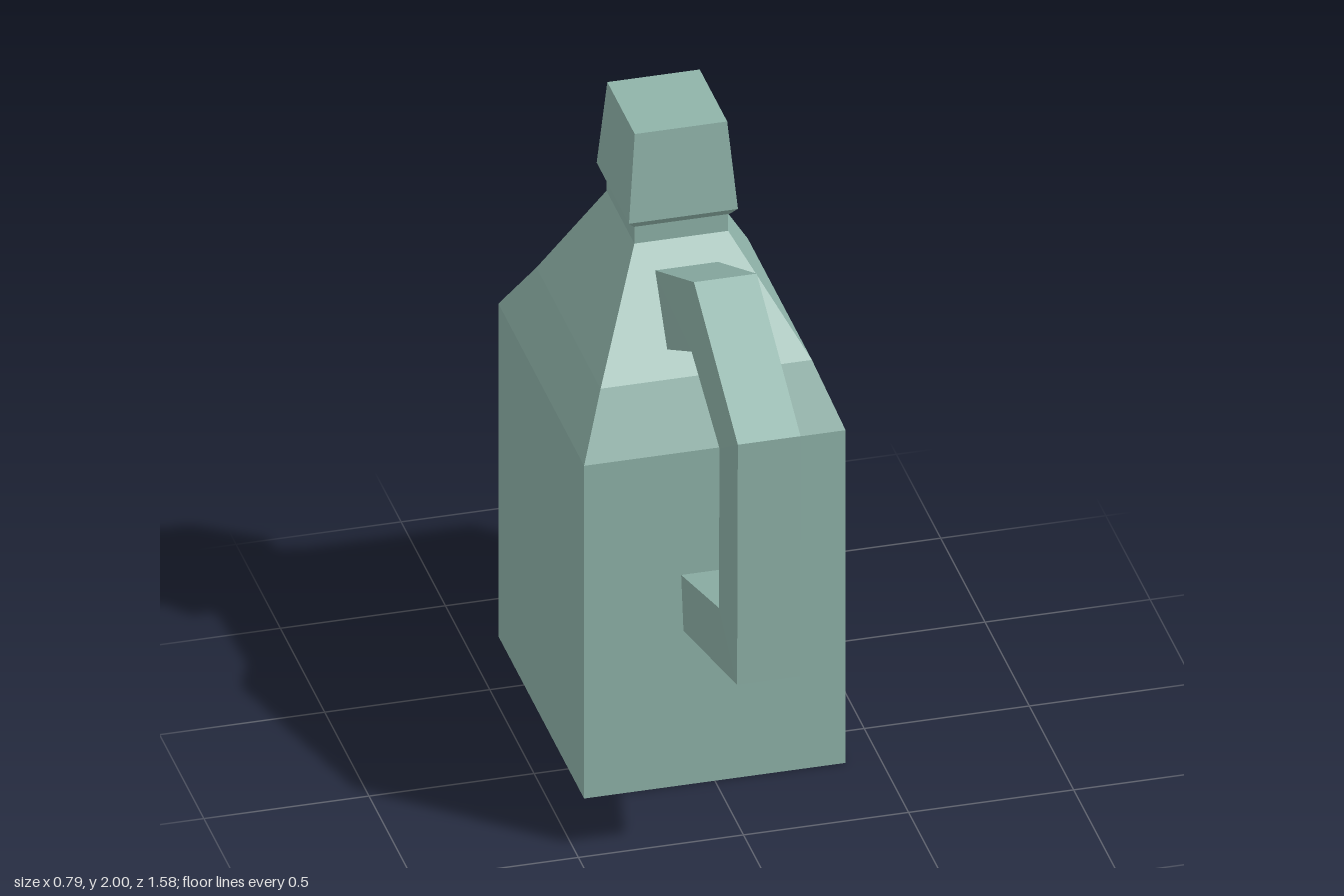
import * as THREE from 'three';

// Flat-shaded solid through four-cornered rings, each ring counterclockwise about the direction of travel
function loft(rings) {
  const pos = [];
  const quad = (a, b, c, d) => pos.push(...a, ...b, ...c, ...a, ...c, ...d);
  for (let k = 0; k < rings.length - 1; k++) {
    const r = rings[k], n = rings[k + 1];
    for (let i = 0; i < 4; i++) {
      const j = (i + 1) % 4;
      quad(r[i], r[j], n[j], n[i]);
    }
  }
  const [a, b, c, d] = rings[0];
  quad(d, c, b, a);
  quad(...rings[rings.length - 1]);
  const geo = new THREE.BufferGeometry();
  geo.setAttribute('position', new THREE.Float32BufferAttribute(pos, 3));
  geo.computeVertexNormals();
  return geo;
}

// Horizontal rectangle: height, half width, front z, back z
const level = ([y, w, front, back]) => [[-w, y, front], [w, y, front], [w, y, back], [-w, y, back]];

// Handle section: outer and inner edge as z, y
const section = ([oz, oy, iz, iy]) => [[-0.095, oy, oz], [0.095, oy, oz], [0.102, iy, iz], [-0.102, iy, iz]];

export function createModel() {
  const group = new THREE.Group();
  const green = new THREE.MeshStandardMaterial({ color: 0x8fb3a9 });
  green.name = 'sage green';
  const add = (name, rings) => {
    const mesh = new THREE.Mesh(loft(rings), green);
    mesh.name = name;
    group.add(mesh);
  };

  // Square jug with sloping shoulders and neck
  add('body', [
    [0, 0.396, 0.177, -0.79],
    [1.13, 0.396, 0.177, -0.79],
    [1.325, 0.32, 0.08, -0.643],
    [1.63, 0.142, -0.202, -0.517],
    [1.7, 0.142, -0.202, -0.517],
  ].map(level));

  // Tapered stopper with a bevelled lower rim
  add('cap', [
    [1.69, 0.145, -0.197, -0.522],
    [1.715, 0.165, -0.177, -0.542],
    [2, 0.14, -0.205, -0.515],
  ].map(level));

  // Angular handle, both ends sunk slightly into the body
  add('handle', [
    [0.14, 0.514, 0.14, 0.703],
    [0.782, 0.685, 0.602, 0.845],
    [0.79, 1.505, 0.61, 1.39],
    [0.295, 1.775, 0.295, 1.54],
    [-0.165, 1.555, 0.0, 1.38],
  ].map(section));

  return group;
}
